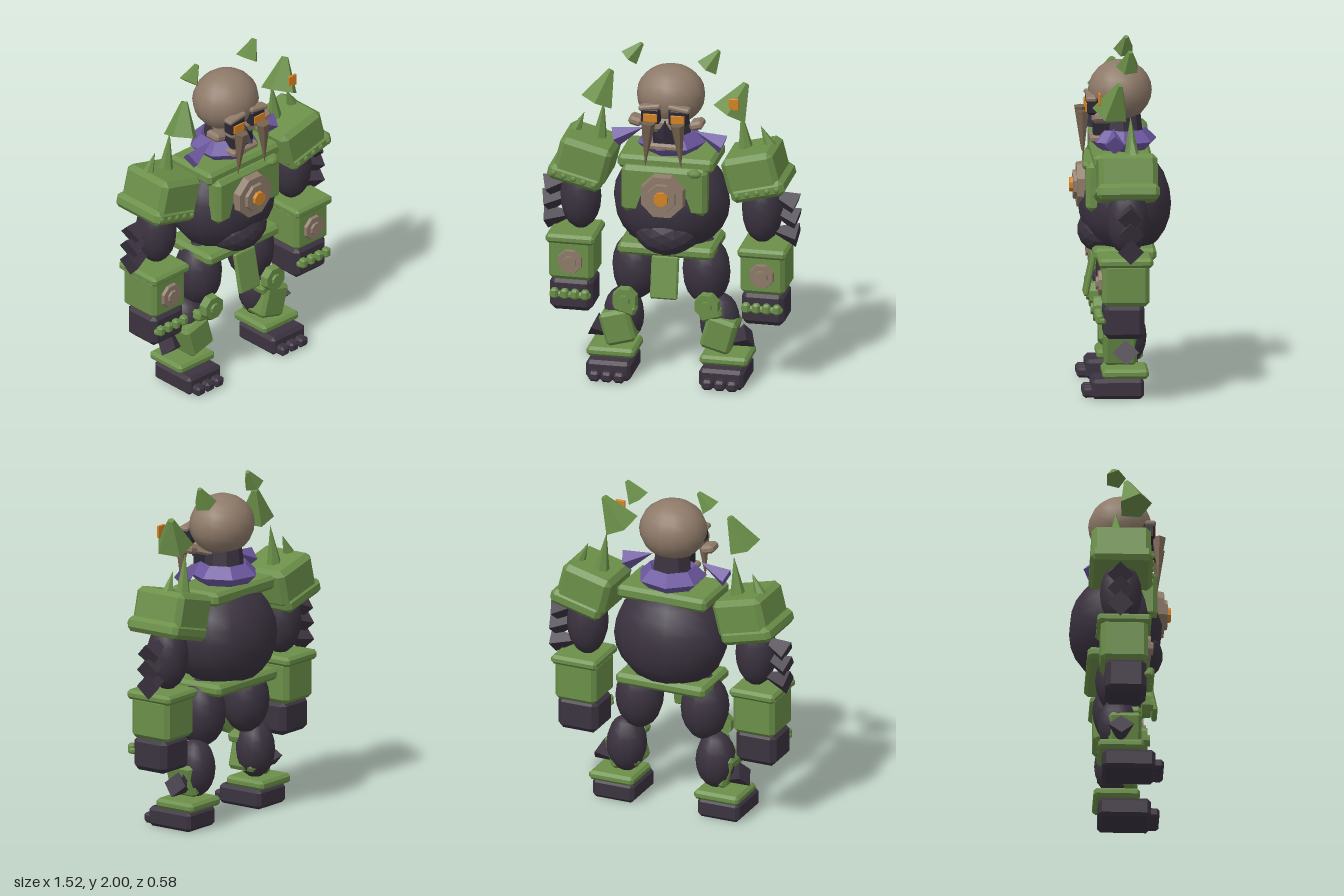
import * as THREE from 'three';
import { ConvexGeometry } from 'three/addons/geometries/ConvexGeometry.js';

const mat = (name, color) => Object.assign(new THREE.MeshStandardMaterial({ color }), { name });

export function createModel() {
  const green = mat('armour green', 0x6b8f49);
  const dark = mat('dark hide', 0x3b3340);
  const tan = mat('tan skin', 0x8e7a69);
  const bone = mat('tusk brown', 0x75624f);
  const purple = mat('scarf purple', 0x6c579f);
  const orange = mat('glowing orange', 0xd48324);
  const black = mat('eye socket', 0x2a2634);

  const model = new THREE.Group();
  const add = (name, geo, material, pos, rot = [0, 0, 0]) => {
    const mesh = new THREE.Mesh(geo, material);
    mesh.name = name;
    mesh.position.set(...pos);
    mesh.rotation.set(...rot);
    model.add(mesh);
    return mesh;
  };
  const flat = (geo) => {
    const g = geo.index ? geo.toNonIndexed() : geo;
    g.computeVertexNormals();
    return g;
  };

  // Box with chamfered edges
  const block = (name, material, size, pos, rot, bevel = 0.02) => {
    const h = size.map((v) => v / 2);
    const b = Math.min(bevel, ...h.map((v) => v * 0.6));
    const pts = [];
    for (const x of [-1, 1]) for (const y of [-1, 1]) for (const z of [-1, 1]) {
      for (let k = 0; k < 3; k++) {
        const e = h.map((v, i) => (i === k ? v : v - b));
        pts.push(new THREE.Vector3(x * e[0], y * e[1], z * e[2]));
      }
    }
    return add(name, new ConvexGeometry(pts), material, pos, rot);
  };

  // Smooth ellipsoid
  const ball = (name, material, radii, pos, w = 16, h = 12) => {
    const geo = new THREE.SphereGeometry(1, w, h);
    geo.scale(...radii);
    return add(name, geo, material, pos);
  };

  // Faceted spike running from base centre to tip
  const spike = (name, material, base, tip, r, sides = 4, rTip = 0) => {
    const a = new THREE.Vector3(...base), dir = new THREE.Vector3(...tip).sub(a);
    const geo = new THREE.CylinderGeometry(rTip, r, dir.length(), sides);
    const mesh = add(name, flat(geo), material, [0, 0, 0]);
    mesh.position.copy(a).addScaledVector(dir, 0.5);
    mesh.quaternion.setFromUnitVectors(new THREE.Vector3(0, 1, 0), dir.normalize());
    return mesh;
  };

  // Octagonal disc facing forward
  const disc = (name, material, r, depth, pos) => {
    const geo = new THREE.CylinderGeometry(r * 0.93, r, depth, 8);
    geo.rotateY(Math.PI / 8);
    geo.rotateX(Math.PI / 2);
    return add(name, flat(geo), material, pos);
  };

  // Torso and belly
  ball('torso', dark, [0.34, 0.31, 0.27], [0, 1.07, -0.02], 14, 12);
  const bellyGeo = new THREE.IcosahedronGeometry(1, 2);
  bellyGeo.scale(0.19, 0.14, 0.15);
  add('belly', flat(bellyGeo), dark, [0, 0.91, 0.1]);

  // Chest armour with medallion
  block('chestPlate', green, [0.5, 0.28, 0.1], [0, 1.19, 0.16], undefined, 0.025);
  block('collarPlate', green, [0.56, 0.08, 0.34], [0, 1.34, 0], undefined, 0.02);
  disc('medallionRim', tan, 0.14, 0.05, [0, 1.17, 0.23]);
  disc('medallionPlate', tan, 0.09, 0.03, [0, 1.17, 0.26]);
  disc('medallionGem', orange, 0.045, 0.03, [0, 1.17, 0.28]);
  ball('chestBump', green, [0.045, 0.025, 0.03], [0.18, 1.31, 0.205], 6, 5);

  // Belt and loincloth
  block('belt', green, [0.56, 0.07, 0.36], [0, 0.805, -0.01]);
  block('loincloth', green, [0.16, 0.25, 0.03], [0, 0.655, 0.18], [-0.2, 0, 0], 0.01);

  // Neck and scarf
  add('neck', flat(new THREE.CylinderGeometry(0.1, 0.13, 0.26, 8)), dark, [0, 1.47, -0.01]);
  const scarf = new THREE.TorusGeometry(0.135, 0.065, 4, 7);
  scarf.rotateX(Math.PI / 2);
  add('scarf', flat(scarf), purple, [0, 1.43, -0.01]);

  // Head and face
  ball('head', tan, [0.198, 0.175, 0.183], [0, 1.715, 0.006], 16, 12);
  block('jaw', tan, [0.2, 0.08, 0.2], [0, 1.575, 0.07]);
  block('mouth', black, [0.15, 0.1, 0.12], [0, 1.495, 0.1], undefined, 0.01);
  block('chin', tan, [0.2, 0.04, 0.12], [0, 1.445, 0.12], undefined, 0.012);
  spike('nose', black, [0, 1.51, 0.165], [0, 1.61, 0.165], 0.065, 4);

  // Loose horn pieces above the shoulders
  spike('largeHorn', green, [-0.415, 1.66, 0.075], [-0.345, 1.84, 0.03], 0.1, 5, 0.02);
  spike('largeHorn', green, [0.36, 1.65, 0.075], [0.445, 1.82, 0.03], 0.11, 5, 0.02);
  spike('smallHorn', green, [-0.25, 1.905, -0.03], [-0.18, 1.99, -0.04], 0.06, 5, 0.014);
  spike('smallHorn', green, [0.205, 1.88, -0.03], [0.27, 1.98, -0.04], 0.068, 5, 0.014);
  block('hornGem', orange, [0.06, 0.07, 0.015], [0.395, 1.73, 0.142], undefined, 0.003);

  for (const s of [-1, 1]) {
    // Eyes, brows, cheeks and tusks
    block('eyeSocket', black, [0.11, 0.095, 0.07], [s * 0.08, 1.64, 0.165], undefined, 0.012);
    block('eye', orange, [0.08, 0.05, 0.009], [s * 0.08, 1.632, 0.203], undefined, 0.002);
    block('brow', tan, [0.13, 0.03, 0.06], [s * 0.085, 1.692, 0.175], [0, 0, -s * 0.15], 0.01);
    block('cheek', tan, [0.08, 0.05, 0.1], [s * 0.178, 1.585, 0.115], [0, 0, s * 0.25], 0.015);
    spike('tusk', bone, [s * 0.085, 1.61, 0.225], [s * 0.105, 1.34, 0.22], 0.042, 6);
    spike('scarfSpike', purple, [s * 0.315, 1.445, 0.05], [s * 0.15, 1.515, 0.05], 0.06, 4);

    // Shoulder armour with rim, spikes and rivets
    const tilt = s * 0.25;
    const onShoulder = (x, y, z) => [
      s * (0.49 + x * Math.cos(0.25) - y * Math.sin(0.25)),
      1.305 + x * Math.sin(0.25) + y * Math.cos(0.25), z];
    block('shoulderPlate', green, [0.31, 0.23, 0.34], onShoulder(0, 0, -0.01), [0, 0, tilt], 0.03);
    block('shoulderRim', green, [0.32, 0.09, 0.36], onShoulder(0.02, -0.105, -0.01), [0, 0, tilt], 0.025);
    for (let i = 0; i < 5; i++) {
      ball('shoulderRivet', green, [0.018, 0.018, 0.012], onShoulder(-0.1 + i * 0.06, -0.105, 0.17), 6, 4);
    }
    spike('tallShoulderSpike', green, [s * 0.43, 1.38, -0.04], [s * 0.4, 1.63, -0.035], 0.048, 6);
    spike('shortShoulderSpike', green, [s * 0.58, 1.4, -0.04], [s * 0.515, 1.545, -0.035], 0.045, 6);

    // Upper arm with hide spikes
    ball('upperArm', dark, [0.12, 0.2, 0.12], [s * 0.53, 1.05, -0.01], 12, 10);
    for (const [x, y, dy] of [[0.725, 1.085, 0.08], [0.735, 0.995, 0.06], [0.735, 0.9, 0.03]]) {
      spike('armSpike', dark, [s * x, y, -0.02], [s * (x - 0.19), y + dy, -0.02], 0.075, 4);
    }

    // Forearm armour, fist and knuckles
    block('forearm', green, [0.26, 0.25, 0.27], [s * 0.56, 0.7, 0.005], undefined, 0.025);
    block('forearmRim', green, [0.285, 0.055, 0.31], [s * 0.56, 0.828, 0.005], undefined, 0.025);
    disc('forearmBadge', tan, 0.077, 0.025, [s * 0.56, 0.695, 0.147]);
    disc('forearmStud', tan, 0.04, 0.02, [s * 0.56, 0.695, 0.163]);
    block('fist', dark, [0.25, 0.2, 0.235], [s * 0.56, 0.485, 0.015], undefined, 0.03);
    block('knuckleBar', green, [0.24, 0.035, 0.04], [s * 0.56, 0.49, 0.14], undefined, 0.01);
    for (let i = 0; i < 4; i++) {
      block('knuckle', green, [0.045, 0.06, 0.045], [s * (0.47 + i * 0.06), 0.5, 0.155], undefined, 0.012);
    }

    // Leg
    ball('thigh', dark, [0.14, 0.2, 0.14], [s * 0.205, 0.65, -0.005], 12, 10);
    ball('shin', dark, [0.118, 0.17, 0.112], [s * 0.28, 0.34, -0.02], 12, 10);
    block('shinGuard', green, [0.18, 0.2, 0.19], [s * 0.295, 0.295, 0.02], [0, 0, -s * 0.27], 0.02);
    block('kneeStrap', green, [0.13, 0.06, 0.09], [s * 0.25, 0.415, 0.07], [0, 0, s * 0.3], 0.015);
    disc('kneeCap', green, 0.077, 0.05, [s * 0.24, 0.49, 0.145]);
    disc('kneeStud', green, 0.035, 0.02, [s * 0.24, 0.49, 0.175]);
    spike('legSpike', dark, [s * 0.455, 0.27, -0.005], [s * 0.31, 0.2, -0.005], 0.075, 4);

    // Ankle and foot
    block('ankleGuard', green, [0.28, 0.055, 0.265], [s * 0.33, 0.145, -0.005], undefined, 0.02);
    block('foot', dark, [0.26, 0.115, 0.3], [s * 0.33, 0.0575, 0.04], undefined, 0.02);
    for (let i = 0; i < 3; i++) {
      block('toe', dark, [0.066, 0.06, 0.07], [s * (0.258 + i * 0.072), 0.035, 0.205], undefined, 0.015);
    }
  }
  return model;
}
